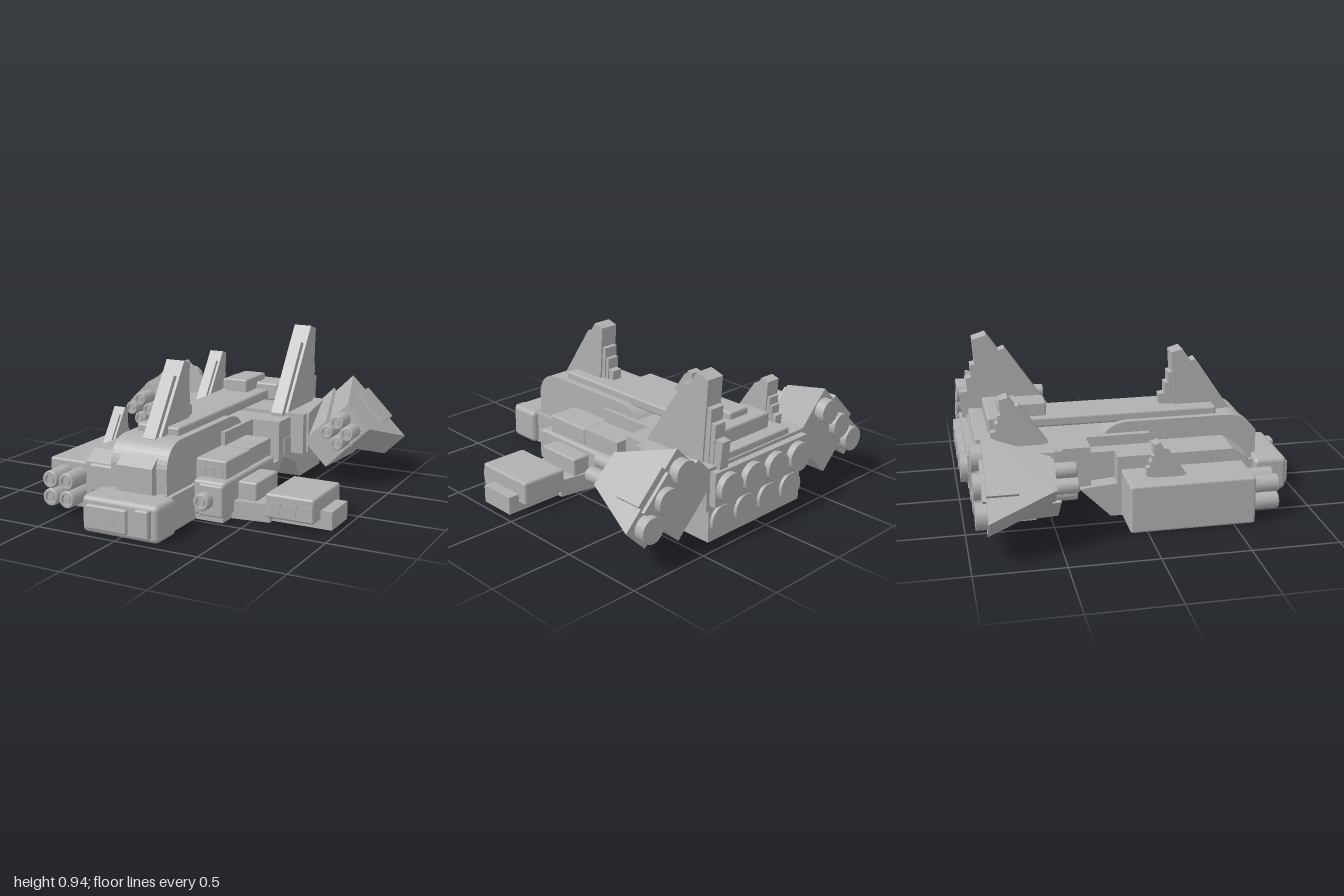
import * as THREE from 'three';
import { toCreasedNormals } from 'three/addons/utils/BufferGeometryUtils.js';
import { RoundedBoxGeometry } from 'three/addons/geometries/RoundedBoxGeometry.js';

const hullGrey = new THREE.MeshStandardMaterial({ color: 0xb0b0b0 });
hullGrey.name = 'hull grey';

export function createModel() {
  const model = new THREE.Group();
  model.name = 'dropship';

  const add = (name, geometry, parent = model) => {
    const mesh = new THREE.Mesh(geometry, hullGrey);
    mesh.name = name;
    parent.add(mesh);
    return mesh;
  };

  // Box between two corners; r > 0 softens its edges
  const box = (name, x0, x1, y0, y1, z0, z1, r = 0, parent = model) => {
    const s = [x1 - x0, y1 - y0, z1 - z0];
    const g = r ? new RoundedBoxGeometry(...s, 2, r) : new THREE.BoxGeometry(...s);
    g.translate((x0 + x1) / 2, (y0 + y1) / 2, (z0 + z1) / 2);
    return add(name, g, parent);
  };

  // Side profile in [z, y], extruded from x0 to x1
  const side = (name, profile, x0, x1, parent = model) => {
    const shape = profile instanceof THREE.Shape
      ? profile : new THREE.Shape(profile.map(p => new THREE.Vector2(...p)));
    const g = new THREE.ExtrudeGeometry(shape, { depth: x1 - x0, bevelEnabled: false, curveSegments: 10 });
    g.rotateY(-Math.PI / 2).translate(x1, 0, 0);
    return add(name, g, parent);
  };

  // Box whose x range changes from rear (z0) to front (z1)
  const taper = (name, rear, front, y0, y1, z0, z1, parent) => {
    const g = new THREE.BoxGeometry(1, y1 - y0, z1 - z0).translate(0, (y0 + y1) / 2, (z0 + z1) / 2);
    const p = g.attributes.position, mid = (z0 + z1) / 2;
    for (let i = 0; i < p.count; i++) {
      const range = p.getZ(i) < mid ? rear : front;
      p.setX(i, p.getX(i) < 0 ? Math.min(...range) : Math.max(...range));
    }
    g.computeVertexNormals();
    return add(name, g, parent);
  };

  // Barrel pointing forward with a recessed ring in its muzzle
  const barrel = (name, x, y, z0, z1, r, parent = model) => {
    const l = z1 - z0;
    const pts = [[r, 0], [r, l - 0.008], [r * 0.88, l], [r * 0.6, l], [r * 0.6, l - 0.02],
      [r * 0.42, l - 0.02], [r * 0.42, l - 0.005], [0, l - 0.005]].map(p => new THREE.Vector2(...p));
    const g = toCreasedNormals(new THREE.LatheGeometry(pts, 24), 0.5);
    add(name, g.rotateX(Math.PI / 2).translate(x, y, z0), parent);
  };

  // Plain round disc or nozzle along z
  const disc = (name, x, y, z0, z1, r, parent = model) =>
    add(name, new THREE.CylinderGeometry(r, r, z1 - z0, 28).rotateX(Math.PI / 2)
      .translate(x, y, (z0 + z1) / 2), parent);

  // Nose
  box('noseBlock', -0.24, 0.24, 0, 0.21, 0.75, 0.955, 0.03);
  box('nosePlate', -0.2, 0.055, 0.03, 0.17, 0.93, 0.975, 0.012);
  disc('noseLamp', -0.06, 0.1, 0.97, 0.979, 0.045);
  box('noseSensor', 0.115, 0.2, 0.03, 0.19, 0.92, 0.99, 0.012);
  side('noseWindow', [[0.6, 0.1], [0.79, 0.1], [0.79, 0.355], [0.71, 0.42], [0.6, 0.42]], -0.115, 0.11);

  // Central spine with rounded ends
  const arch = new THREE.Shape();
  arch.moveTo(0.8, 0);
  arch.lineTo(0.745, 0.21);
  arch.lineTo(0.745, 0.35);
  arch.quadraticCurveTo(0.72, 0.485, 0.58, 0.485);
  arch.lineTo(0, 0.485);
  arch.quadraticCurveTo(-0.13, 0.485, -0.18, 0.38);
  arch.lineTo(-0.34, 0.18);
  arch.lineTo(-0.16, 0);
  side('spine', arch, -0.18, 0.175);
  box('keel', -0.2, 0.2, 0, 0.2, 0.3, 0.8);
  box('topBeam', -0.14, 0.13, 0.47, 0.53, -0.65, 0.53, 0.014);

  // Hull sides and belly ramp
  side('leftHull', [[0.65, 0], [0.65, 0.3], [0.56, 0.36], [-0.12, 0.36], [-0.12, 0.2], [-0.34, 0.18], [-0.16, 0]], -0.41, -0.17);
  box('leftHullHatch', -0.38, -0.215, 0.13, 0.295, 0.6, 0.665, 0.015);
  side('rightHull', [[0.47, 0], [0.47, 0.18], [-0.34, 0.18], [-0.16, 0]], 0.17, 0.375);
  box('rightHullSide', 0.19, 0.39, 0.03, 0.235, -0.18, 0.48, 0.02);
  box('rightCabin', 0.17, 0.365, 0.2, 0.34, 0.1, 0.41, 0.012);
  for (let i = 0; i < 3; i++)
    box('cabinWindow', 0.19 + i * 0.054, 0.235 + i * 0.054, 0.245, 0.3, 0.408, 0.416);
  box('midHull', -0.31, 0.2, 0.18, 0.36, -0.3, 0);
  box('midHullTop', -0.22, 0.2, 0.18, 0.42, -0.44, 0.11);
  box('rightHullTop', 0.17, 0.36, 0.2, 0.34, -0.18, 0.1);

  // Chin gun
  box('gunMount', 0.235, 0.385, 0.035, 0.22, 0.44, 0.5, 0.012);
  barrel('chinGun', 0.28, 0.13, 0.49, 0.56, 0.05);

  // Missile box on the side
  box('missileBox', -0.68, -0.4, 0.004, 0.285, -0.1, 0.62, 0.015);
  for (const x of [-0.573, -0.464]) for (const y of [0.095, 0.2])
    barrel('missileTube', x, y, 0.6, 0.78, 0.051);

  // Outrigger wing with container
  const arm = new THREE.Shape([[0.36, 0], [0.6, -0.04], [0.6, -0.34], [0.36, -0.37]].map(p => new THREE.Vector2(...p)));
  add('outriggerArm', new THREE.ExtrudeGeometry(arm, { depth: 0.105, bevelEnabled: false }).rotateX(-Math.PI / 2));
  box('outriggerTip', 0.58, 0.955, 0, 0.105, 0.07, 0.3);
  box('outriggerHatch', 0.39, 0.508, 0.08, 0.21, 0.03, 0.32, 0.012);
  box('container', 0.597, 0.887, 0.048, 0.19, 0.01, 0.4, 0.015);
  for (let i = 0; i < 3; i++)
    box('containerWindow', 0.622 + i * 0.095, 0.69 + i * 0.095, 0.08, 0.145, 0.398, 0.406);

  // Rear engine section
  box('rearCollar', -0.38, 0.375, 0.18, 0.42, -0.5, -0.27);
  side('rearLowerHull', [[-0.34, 0.18], [-0.5, 0.12], [-0.59, 0], [-0.92, 0], [-0.92, 0.3], [-0.34, 0.3]], -0.38, 0.38);
  taper('rearHull', [-0.4, 0.4], [-0.475, 0.475], 0.19, 0.44, -0.92, -0.49, model);
  box('rearHullLip', -0.46, 0.46, 0.19, 0.44, -0.5, -0.44);
  box('enginePlate', -0.38, 0.375, 0.22, 0.42, -0.96, -0.9);
  for (let i = 0; i < 4; i++) {
    const x = -0.285 + i * 0.19;
    disc('upperEngine', x, 0.32, -1, -0.95, 0.085);
    disc('lowerEngine', x, 0.115, -0.94, -0.91, 0.085);
  }
  box('rearDeck', -0.28, 0.27, 0.43, 0.48, -0.91, -0.7, 0.01);
  box('rearTurretBase', -0.197, 0.197, 0.46, 0.57, -0.83, -0.63, 0.014);
  box('rearTurretTop', -0.1, 0.05, 0.5, 0.61, -0.76, -0.48, 0.012);

  // Engine pods, turned 45 degrees about the long axis
  for (const s of [1, -1]) {
    const pod = new THREE.Group();
    pod.name = s > 0 ? 'leftPod' : 'rightPod';
    pod.rotation.z = -s * Math.PI / 4;
    model.add(pod);
    const block = (name, d0, d1, ...rest) =>
      box(name, Math.min(s * d0, s * d1), Math.max(s * d0, s * d1), ...rest, 0, pod);
    taper('podBracket', [-s * 0.037, s * 0.36], [s * 0.13, s * 0.34], 0.5, 0.7, -0.92, -0.49, pod);
    taper('podBody', [-s * 0.01, s * 0.495], [s * 0.14, s * 0.34], 0.68, 0.865, -0.9, -0.54, pod);
    block('podPanel', 0.113, 0.348, 0.85, 0.89, -0.9, -0.73);
    block('podFrontPlate', 0.145, 0.335, 0.655, 0.85, -0.56, -0.525);
    block('podRearPlate', 0.12, 0.36, 0.7, 0.85, -0.92, -0.89);
    for (const a of [-0.046, 0.046]) for (const b of [-0.046, 0.046])
      barrel('podGun', s * (0.237 + a), 0.742 + b, -0.54, -0.4, 0.043, pod);
    for (let i = 0; i < 3; i++)
      disc('podEngine', s * (0.07 + i * 0.168), 0.765, -0.96, -0.88, 0.073, pod);
  }

  // Stepped fins: main blade, lower leading strip, narrow rear steps
  const fin = (name, x, y, z, k, w) => {
    const g = new THREE.Group();
    g.name = name;
    g.position.set(x, y, z);
    model.add(g);
    const scaled = pts => pts.map(([a, b]) => [a * k, b * k]);
    const h = w / 2, n = h * 0.68;
    side('finBlade', scaled([[-0.035, -0.03], [-0.035, 0], [-0.3, 0.39], [-0.365, 0.37], [-0.34, -0.03]].reverse()), -h, h, g);
    side('finStrip', scaled([[0, -0.03], [0, 0], [-0.215, 0.32], [-0.25, 0.305], [-0.25, -0.03]].reverse()), -n, n, g);
    [[0.38, 0.245, 0.8], [0.4, 0.18, 0.68], [0.435, 0.11, 0.56]].forEach(([a, b, f]) =>
      side('finStep', scaled([[-0.3, -0.03], [-0.3, b + 0.015], [-a, b], [-a + 0.012, -0.03]].reverse()), -h * f, h * f, g));
  };
  fin('frontFin', 0.003, 0.48, 0.64, 1, 0.114);
  fin('leftRearFin', 0.296, 0.44, -0.405, 1.27, 0.112);
  fin('rightRearFin', -0.29, 0.44, -0.5, 0.745, 0.092);
  fin('missileBoxFin', -0.535, 0.28, 0.25, 0.54, 0.076);

  return model;
}
